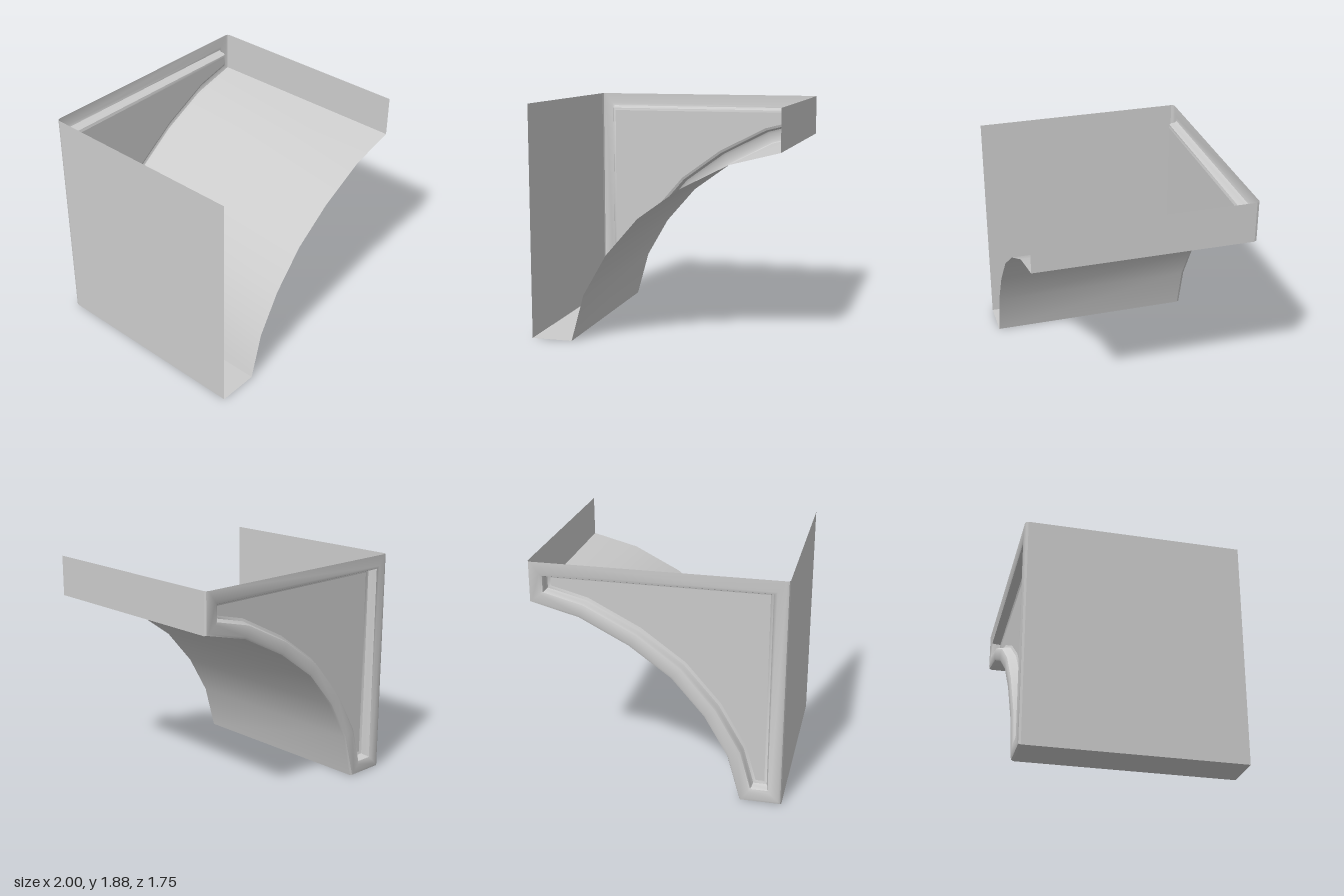
import * as THREE from 'three';
import { toCreasedNormals } from 'three/addons/utils/BufferGeometryUtils.js';

const TOP = 1.88;
// Arch bracket outline, counter-clockwise seen from the front
const outline = [
  [-1, 0], [-0.665, 0], [-0.56, 0.38], [-0.37, 0.71], [-0.11, 1.01],
  [0.22, 1.25], [0.61, 1.45], [1, 1.55], [1, TOP], [-1, TOP],
].map(([x, y]) => new THREE.Vector2(x, y));
const N = outline.length;
const TOP_EDGE = N - 2;

// Outline moved inward by d with mitred corners
function inset(d) {
  const normal = (i) => {
    const e = outline[(i + 1) % N].clone().sub(outline[i % N]).normalize();
    return new THREE.Vector2(-e.y, e.x);
  };
  return outline.map((p, i) => {
    const a = normal(i + N - 1), b = normal(i);
    const q = p.clone().addScaledVector(a.clone().add(b), d / (1 + a.dot(b)));
    if (d < 0.03 && p.y === TOP) q.y = TOP; // the upper edge is not rounded over
    return q;
  });
}

// Bands joining successive [inset, z] rings; the upper edge stays open on the outside
function bands(rings) {
  const pos = [], index = [];
  for (const [d, z] of rings) for (const p of inset(d)) pos.push(p.x, p.y, z);
  for (let r = 0; r < rings.length - 1; r++) {
    for (let i = 0; i < N; i++) {
      if (i === TOP_EDGE && rings[r + 1][0] < 0.03) continue;
      const j = (i + 1) % N;
      const a = r * N + i, b = r * N + j, c = b + N, e = a + N;
      index.push(a, e, c, a, c, b);
    }
  }
  const g = new THREE.BufferGeometry();
  g.setAttribute('position', new THREE.Float32BufferAttribute(pos, 3));
  g.setIndex(index);
  return toCreasedNormals(g, 0.7);
}

export function createModel() {
  const group = new THREE.Group();
  const material = new THREE.MeshStandardMaterial({ color: 0xcccccc, side: THREE.DoubleSide });
  const add = (name, geometry) => {
    const mesh = new THREE.Mesh(geometry, material);
    mesh.name = name;
    group.add(mesh);
    return mesh;
  };

  // Thin shell: side walls, foot and arched underside, open at top and front
  add('archShell', bands([[0, 0.875], [0, -0.85]]));

  // Rounded rim on the back, stepping into the recess
  add('backRim', bands([
    [0, -0.85], [0.007, -0.868], [0.025, -0.875],
    [0.09, -0.875], [0.111, -0.866], [0.12, -0.845],
    [0.12, -0.815], [0.129, -0.794], [0.15, -0.785],
  ]));

  // Recessed flat panel, facing backwards
  const shape = new THREE.Shape(inset(0.15).map((p) => new THREE.Vector2(-p.x, p.y)));
  const panel = add('recessedPanel', new THREE.ShapeGeometry(shape));
  panel.rotation.y = Math.PI;
  panel.position.z = -0.785;

  return group;
}
